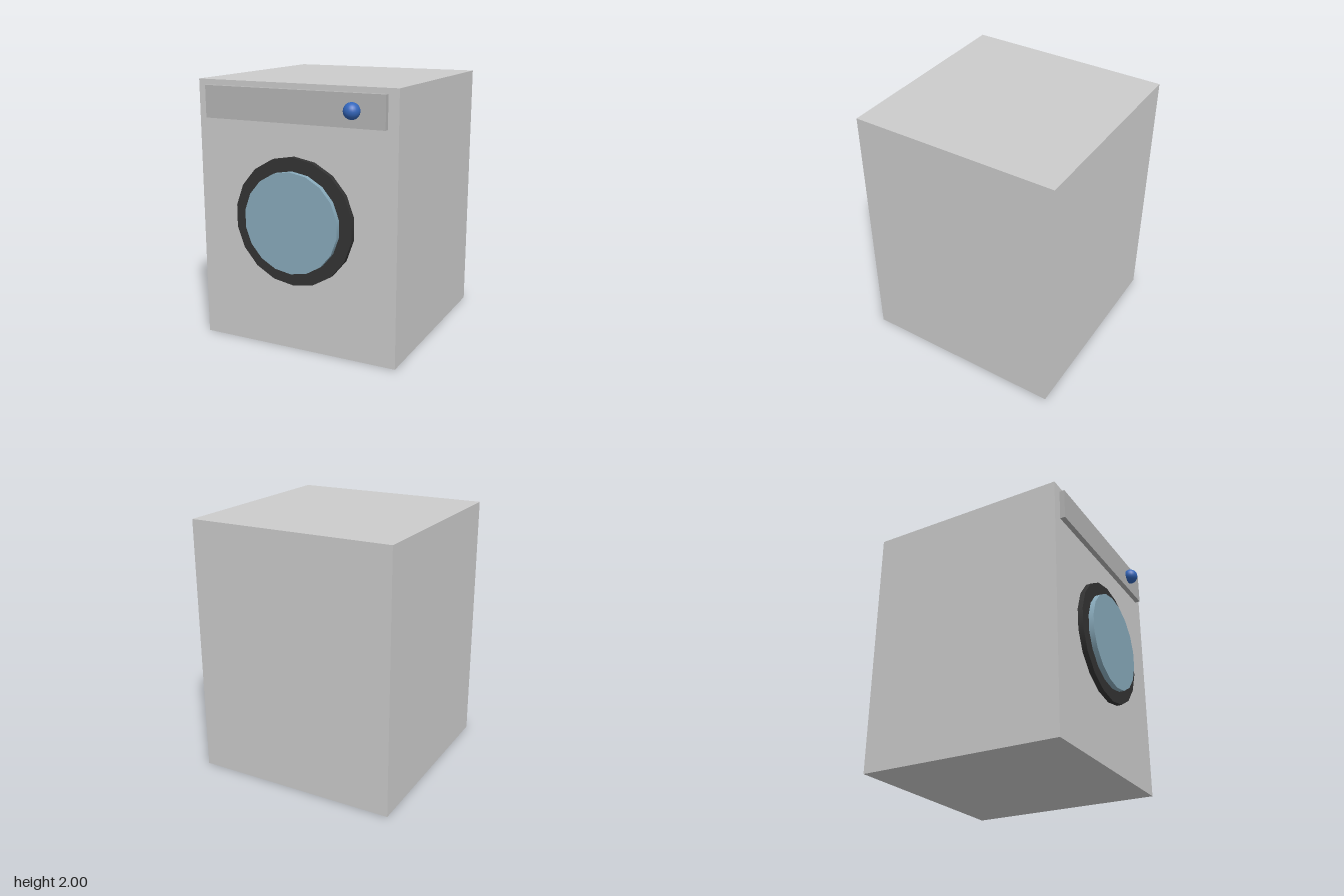
import * as THREE from 'three';

export function createModel() {
  const model = new THREE.Group();

  const add = (name, geometry, color, x, y, z) => {
    const mesh = new THREE.Mesh(geometry, new THREE.MeshStandardMaterial({ color }));
    mesh.name = name;
    mesh.position.set(x, y, z);
    model.add(mesh);
  };

  // Short 18-sided disc facing the front
  const disc = (radius, depth) =>
    new THREE.CylinderGeometry(radius, radius, depth, 18).rotateX(Math.PI / 2);

  // Cabinet
  add('cabinet', new THREE.BoxGeometry(1.6, 2, 1.6), 0xcccccc, 0, 1, -0.06);

  // Round door: dark frame with raised glass
  add('doorFrame', disc(0.48, 0.04), 0x333333, 0, 1, 0.76);
  add('doorGlass', disc(0.38, 0.08), 0x88aabb, 0, 1, 0.78);

  // Control strip and dial
  add('controlPanel', new THREE.BoxGeometry(1.44, 0.24, 0.04), 0xb5b5b5, 0, 1.84, 0.76);
  add('dial', new THREE.SphereGeometry(0.06, 24, 16), 0x3366bb, 0.48, 1.84, 0.8);

  return model;
}
